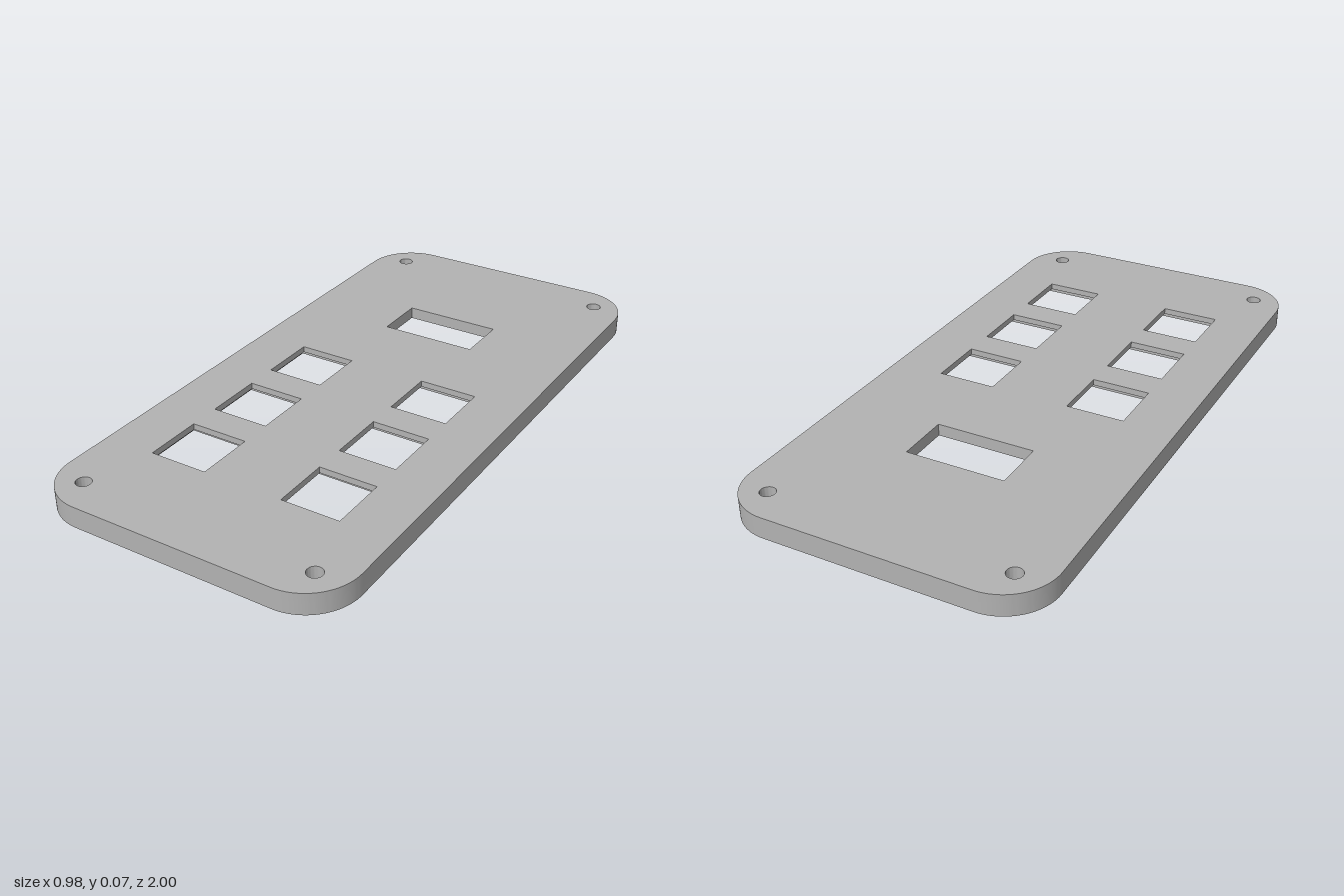
import * as THREE from 'three';
import { toCreasedNormals } from 'three/addons/utils/BufferGeometryUtils.js';

const HEIGHT = 0.068;   // top face
const FLOOR = 0.029;    // underside of the plate inside the rim
const LEDGE = 0.048;    // underside of the thin lip around each key hole
const HALF_X = 0.49, HALF_Z = 1, CORNER = 0.165, RIM = 0.03;

// Outlines are drawn anticlockwise in (x, z)
function roundedOutline(hx, hz, r) {
  const s = new THREE.Path();
  s.absarc(hx - r, hz - r, r, 0, Math.PI / 2);
  s.absarc(-hx + r, hz - r, r, Math.PI / 2, Math.PI);
  s.absarc(-hx + r, -hz + r, r, Math.PI, Math.PI * 1.5);
  s.absarc(hx - r, -hz + r, r, Math.PI * 1.5, Math.PI * 2);
  return s.getPoints(16);
}

function rectOutline(cx, cz, w, d) {
  return [[-1, -1], [1, -1], [1, 1], [-1, 1]].map(
    ([i, j]) => new THREE.Vector2(cx + (i * w) / 2, cz + (j * d) / 2));
}

function circleOutline(cx, cz, r) {
  return new THREE.Path().absarc(cx, cz, r, 0, Math.PI * 2).getPoints(16);
}

// Flat face with holes at height y, facing up or down
function faceGeometry(outline, holes, y, up) {
  const shape = new THREE.Shape(outline);
  shape.holes = holes.map((h) => new THREE.Path(h));
  const g = new THREE.ShapeGeometry(shape);
  g.rotateX(Math.PI / 2).translate(0, y, 0);
  if (up) {
    const a = g.index.array;
    for (let i = 0; i < a.length; i += 3) [a[i], a[i + 1]] = [a[i + 1], a[i]];
    g.computeVertexNormals();
  }
  return g;
}

// Upright wall along a closed outline, facing out or in
function wallGeometry(outline, y0, y1, inward) {
  const pts = inward ? [...outline].reverse() : outline;
  const pos = [];
  pts.forEach((a, i) => {
    const b = pts[(i + 1) % pts.length];
    if (a.distanceTo(b) < 1e-6) return;
    pos.push(a.x, y0, a.y, a.x, y1, a.y, b.x, y1, b.y);
    pos.push(a.x, y0, a.y, b.x, y1, b.y, b.x, y0, b.y);
  });
  const g = new THREE.BufferGeometry();
  g.setAttribute('position', new THREE.Float32BufferAttribute(pos, 3));
  return toCreasedNormals(g, Math.PI / 5);
}

export function createModel() {
  const model = new THREE.Group();
  model.name = 'keypadCover';
  const grey = new THREE.MeshStandardMaterial({ color: 0xb2b2b2 });
  grey.name = 'plain grey';

  const add = (name, geometry) => {
    const mesh = new THREE.Mesh(geometry, grey);
    mesh.name = name;
    model.add(mesh);
  };

  const outer = roundedOutline(HALF_X, HALF_Z, CORNER);
  const inner = roundedOutline(HALF_X - RIM, HALF_Z - RIM, CORNER - RIM);

  // Openings: display window, four screw holes, two columns of three keys
  const display = rectOutline(0, -0.459, 0.322, 0.174);
  const screws = [], keys = [], pockets = [];
  for (const side of [-1, 1]) {
    for (const end of [-1, 1]) screws.push(circleOutline(side * 0.386, end * 0.893, 0.024));
    for (const z of [-0.003, 0.291, 0.583]) {
      keys.push(rectOutline(side * 0.226, z, 0.19, 0.19));
      pockets.push(rectOutline(side * 0.226, z, 0.228, 0.228));
    }
  }

  // Horizontal faces
  add('topFace', faceGeometry(outer, [display, ...screws, ...keys], HEIGHT, true));
  add('underside', faceGeometry(inner, [display, ...screws, ...pockets], FLOOR, false));
  add('rimBottom', faceGeometry(outer, [inner], 0, false));

  // Rim walls
  add('outerWall', wallGeometry(outer, 0, HEIGHT, false));
  add('innerRimWall', wallGeometry(inner, 0, FLOOR, true));

  // Hole walls and the stepped pockets behind the keys
  add('displayWindow', wallGeometry(display, FLOOR, HEIGHT, true));
  screws.forEach((s) => add('screwHole', wallGeometry(s, FLOOR, HEIGHT, true)));
  keys.forEach((k, i) => {
    add('keyHole', wallGeometry(k, LEDGE, HEIGHT, true));
    add('keyLedge', faceGeometry(pockets[i], [k], LEDGE, false));
    add('keyPocket', wallGeometry(pockets[i], FLOOR, LEDGE, true));
  });

  return model;
}
